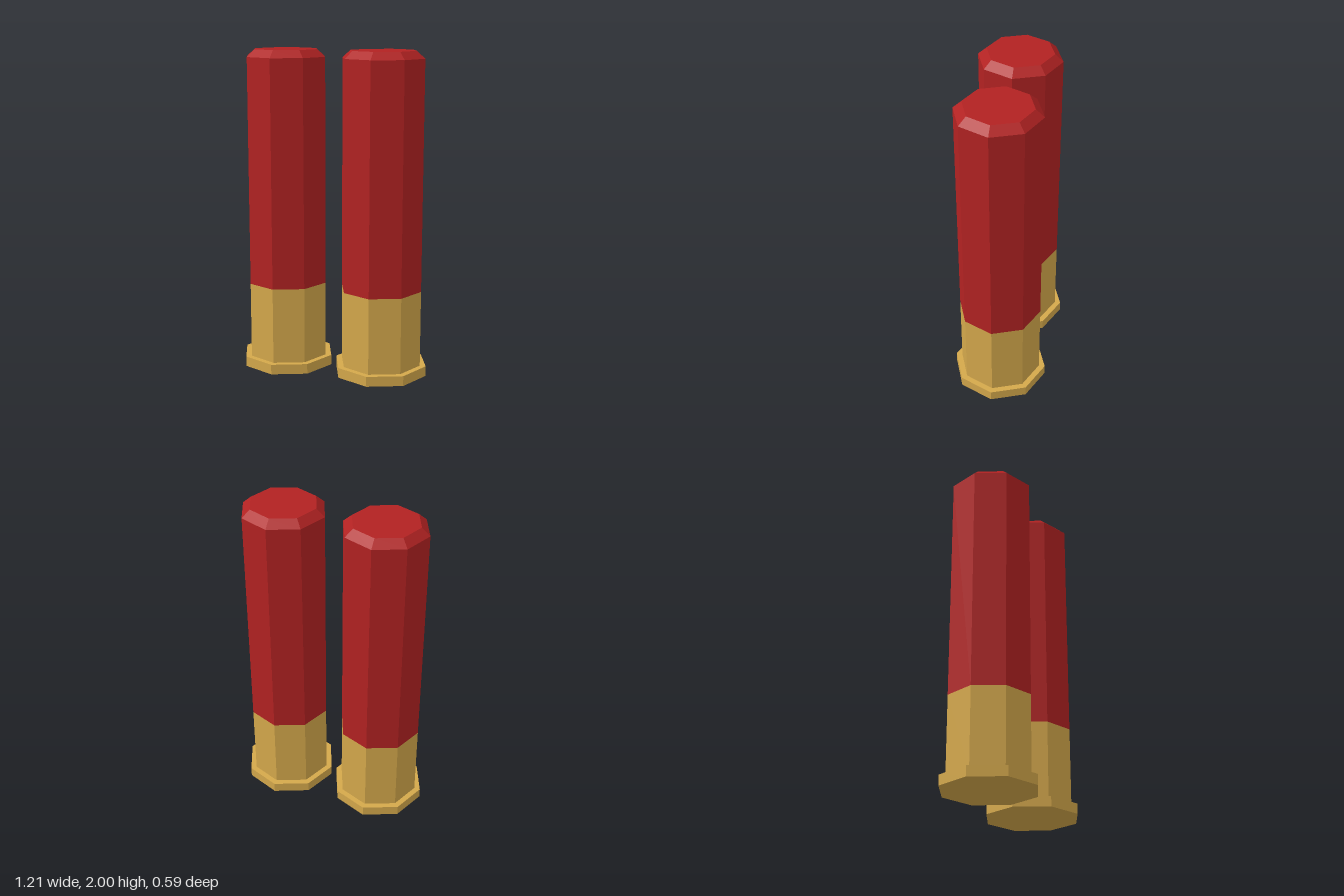
import * as THREE from 'three';

const SIDES = 8;

// Faceted solid of revolution; the profile runs from bottom to top as [radius, y]
function faceted(profile) {
  const points = profile.map(([r, y]) => new THREE.Vector2(r, y));
  const geometry = new THREE.LatheGeometry(points, SIDES).toNonIndexed();
  geometry.computeVertexNormals();
  return geometry;
}

export function createModel() {
  const red = new THREE.MeshStandardMaterial({ color: 0xb22222 });
  red.name = 'red';
  const brass = new THREE.MeshStandardMaterial({ color: 0xd4a84b });
  brass.name = 'brass';

  const parts = [
    // flat base, flared rim and its upper ledge
    ['rim', brass, faceted([[0, 0], [0.294, 0], [0.294, 0.063], [0.256, 0.063]])],
    // metal cup around the lower body
    ['brassBase', brass, faceted([[0.256, 0.063], [0.256, 0.54]])],
    // hull with bevelled top edge and flat cap
    ['hull', red, faceted([[0.256, 0.54], [0.256, 1.955], [0.205, 2], [0, 2]])],
  ];

  const model = new THREE.Group();
  model.name = 'shells';
  for (const side of [1, -1]) {
    const shell = new THREE.Group();
    shell.name = side > 0 ? 'leftShell' : 'rightShell';
    for (const [name, material, geometry] of parts) {
      const mesh = new THREE.Mesh(geometry, material);
      mesh.name = name;
      shell.add(mesh);
    }
    shell.position.x = side * 0.311;
    model.add(shell);
  }
  return model;
}
